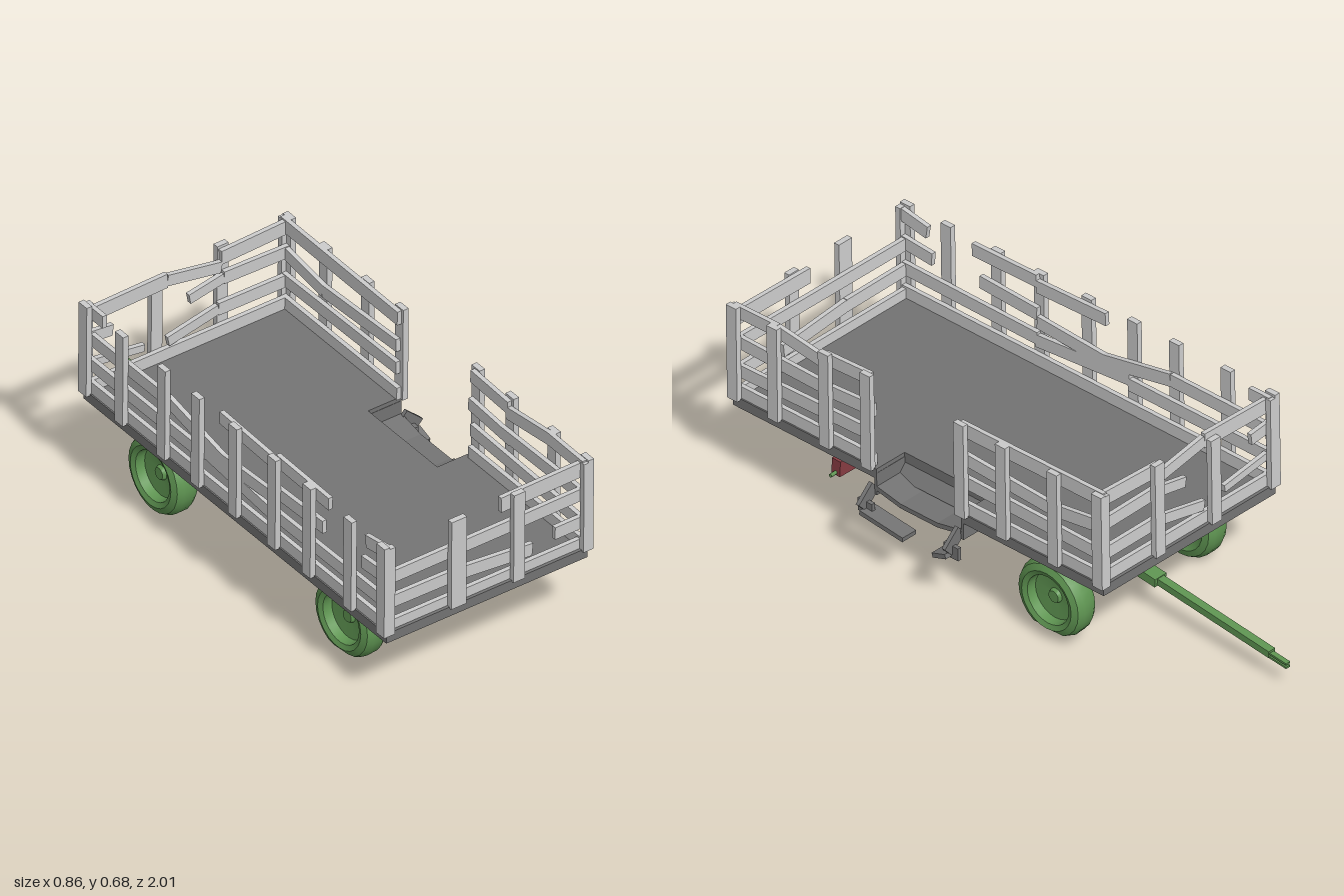
import * as THREE from 'three';
import { toCreasedNormals } from 'three/addons/utils/BufferGeometryUtils.js';

const mat = (color) => new THREE.MeshStandardMaterial({ color, flatShading: true });
const wood = mat(0xcccccc), deckMat = mat(0x747474), red = mat(0x873c42);
const green = new THREE.MeshStandardMaterial({ color: 0x5f9552 });
const V = (x, y, z) => new THREE.Vector3(x, y, z);

function add(parent, name, geometry, material) {
  const mesh = new THREE.Mesh(geometry, material);
  mesh.name = name;
  parent.add(mesh);
  return mesh;
}

function box(parent, name, size, pos, material) {
  const mesh = add(parent, name, new THREE.BoxGeometry(...size), material);
  mesh.position.set(...pos);
  return mesh;
}

// Square bar from a to b; w is its width across, h its height
function bar(parent, name, a, b, w, h, material) {
  const mesh = box(parent, name, [w, h, a.distanceTo(b)], a.clone().add(b).multiplyScalar(0.5).toArray(), material);
  mesh.lookAt(b);
  return mesh;
}

// Stake wall: posts outside, planks [from, y, to, y] inside, running along z (side) or x (end)
function wall(parent, name, alongZ, offset, posts, planks) {
  const group = new THREE.Group();
  group.name = name;
  parent.add(group);
  const out = Math.sign(offset);
  const at = (t, y, d) => (alongZ ? V(d, y, t) : V(t, y, d));
  for (const [t, top, w = 0.042] of posts) {
    const size = alongZ ? [0.02, top - 0.03, w] : [w, top - 0.03, 0.02];
    box(group, 'stake', size, at(t, (top + 0.03) / 2, offset).toArray(), wood);
  }
  for (const [t0, y0, t1, y1, h = 0.045] of planks)
    bar(group, 'plank', at(t0, y0, offset - out * 0.018), at(t1, y1, offset - out * 0.018), 0.016, h, wood);
}

// Wheel with closed inner face, hollow rim outside and a tyre sagging at the bottom
function wheel(parent, name, x, y, z, sag, yaw = 0) {
  const profile = [[0, -0.03], [0.085, -0.035], [0.1, -0.046], [0.122, -0.04], [0.133, -0.022], [0.134, 0.018],
    [0.124, 0.038], [0.103, 0.047], [0.086, 0.04], [0.082, 0.008], [0.025, 0.004], [0.02, 0.016], [0, 0.016]];
  let geo = new THREE.LatheGeometry(profile.map(([r, h]) => new THREE.Vector2(r, h)), 24);
  geo.rotateZ(x > 0 ? -Math.PI / 2 : Math.PI / 2);
  const p = geo.attributes.position;
  for (let i = 0; i < p.count; i++) p.setY(i, Math.max(p.getY(i), -sag));
  geo = toCreasedNormals(geo, 0.6);
  const mesh = add(parent, name, geo, green);
  mesh.position.set(x, y, z);
  mesh.rotation.y = yaw;
}

function makeBody() {
  const body = new THREE.Group();
  body.name = 'wagonBody';
  const W = 0.38, L = 0.777;

  // Deck with a notch in the left edge for the step
  const n0 = -0.18, n1 = 0.175, nx = 0.255;
  const outline = [[-W, -L], [W, -L], [W, n0], [nx, n0], [nx, n1], [W, n1], [W, L], [-W, L]];
  const shape = new THREE.Shape(outline.map(([x, z]) => new THREE.Vector2(x, -z)));
  const geo = new THREE.ExtrudeGeometry(shape, { depth: 0.035, bevelEnabled: false });
  geo.rotateX(-Math.PI / 2);
  add(body, 'deck', geo, deckMat);

  // Sagging upper step, its sloping riser and end plates
  const mid = (n0 + n1) / 2, len = n1 - n0;
  bar(body, 'stepRiser', V(0.235, 0.012, mid), V(0.285, -0.045, mid), len, 0.012, deckMat);
  for (const [za, ya, zb, yb] of [[n0, -0.035, n0 + 0.1, -0.055], [n0 + 0.1, -0.055, n1 - 0.1, -0.055], [n1 - 0.1, -0.055, n1, -0.035]])
    bar(body, 'upperStep', V(0.328, ya, za), V(0.328, yb, zb), 0.105, 0.016, deckMat);
  for (const z of [n0 - 0.004, n1 + 0.004]) {
    const plate = new THREE.Shape([[0.2, 0.02], [0.275, -0.06], [0.38, -0.06], [0.38, 0.02]].map((q) => new THREE.Vector2(...q)));
    const g = new THREE.ExtrudeGeometry(plate, { depth: 0.01, bevelEnabled: false });
    add(body, 'stepEndPlate', g, deckMat).position.z = z - 0.005;
  }

  // Broken lower step on slanted brackets
  for (const [z, end, drop] of [[n0 + 0.01, -0.115, -0.018], [n1 + 0.015, 0.01, -0.02]]) {
    bar(body, 'stepBracket', V(0.375, -0.03, z), V(0.435, -0.085, z), 0.014, 0.045, deckMat);
    bar(body, 'stepBracket', V(0.41, -0.07, z), V(0.41, -0.115, z), 0.014, 0.06, deckMat);
    bar(body, 'lowerStep', V(0.412, -0.1, z), V(0.412, -0.1 + drop, end), 0.06, 0.016, deckMat);
  }

  // Side walls
  wall(body, 'leftSideWall', true, 0.385,
    [[0.765, 0.37], [0.595, 0.37], [0.38, 0.372], [0.205, 0.375], [-0.187, 0.37], [-0.362, 0.368], [-0.578, 0.366], [-0.765, 0.368]],
    [[0.775, 0.055, 0.19, 0.055], [-0.175, 0.055, -0.775, 0.055],
      [0.775, 0.13, 0.2, 0.145], [-0.18, 0.15, -0.775, 0.14],
      [0.775, 0.235, 0.37, 0.228], [0.4, 0.225, 0.19, 0.238], [-0.18, 0.235, -0.56, 0.215], [-0.56, 0.215, -0.775, 0.245],
      [0.775, 0.345, 0.59, 0.348], [0.6, 0.348, 0.38, 0.318], [0.39, 0.34, 0.2, 0.348], [-0.175, 0.34, -0.775, 0.345, 0.05]]);
  wall(body, 'rightSideWall', true, -0.385,
    [0.765, 0.595, 0.385, 0.205, 0.005, -0.187, -0.362, -0.578, -0.765].map((z) => [z, 0.365]),
    [[0.775, 0.055, -0.775, 0.055],
      [0.775, 0.14, 0.2, 0.135], [0.21, 0.125, -0.187, 0.16], [-0.18, 0.14, -0.775, 0.14],
      [0.775, 0.235, 0.64, 0.225], [0.44, 0.235, 0.2, 0.225], [0.2, 0.195, -0.17, 0.175], [-0.08, 0.18, -0.36, 0.235], [-0.36, 0.235, -0.775, 0.235],
      [0.775, 0.335, 0.66, 0.315], [0.47, 0.34, 0.2, 0.345], [0.2, 0.325, -0.09, 0.335], [-0.69, 0.335, -0.775, 0.335]]);

  // End walls
  wall(body, 'frontWall', false, 0.776,
    [[-0.37, 0.358, 0.032], [-0.113, 0.358, 0.057], [0.115, 0.358, 0.042], [0.372, 0.362, 0.028]],
    [[-0.38, 0.052, 0.38, 0.052, 0.036],
      [-0.38, 0.138, -0.1, 0.135], [-0.1, 0.135, 0.18, 0.108], [0.265, 0.13, 0.38, 0.13],
      [-0.38, 0.23, 0.1, 0.232], [0.1, 0.232, 0.38, 0.235], [0.06, 0.325, 0.38, 0.33, 0.055]]);
  wall(body, 'backWall', false, -0.776,
    [[-0.37, 0.355, 0.032], [-0.113, 0.335], [0.135, 0.365], [0.372, 0.365, 0.028]],
    [[-0.38, 0.055, 0.38, 0.055],
      [-0.38, 0.145, -0.17, 0.115, 0.026], [-0.08, 0.1, 0.11, 0.14, 0.036], [0.11, 0.14, 0.38, 0.138],
      [-0.38, 0.245, -0.29, 0.235, 0.04], [0.0, 0.225, 0.13, 0.25, 0.036], [0.13, 0.25, 0.38, 0.245],
      [-0.38, 0.325, -0.085, 0.332, 0.052], [-0.085, 0.332, 0.12, 0.295, 0.04], [0.12, 0.33, 0.38, 0.34, 0.05]]);

  body.position.set(-0.027, 0.277, 0.207);
  body.rotation.set(0.034, -0.009, 0.018);
  return body;
}

function makeChassis() {
  const chassis = new THREE.Group();
  chassis.name = 'chassis';

  // Axle beams, slanted supports and stub shafts
  for (const [name, z, y, top, shift] of [['frontAxle', 0.65, 0.125, 0.27, 0.008], ['backAxle', -0.295, 0.143, 0.305, -0.01]]) {
    bar(chassis, name, V(shift - 0.24, y - 0.01, z), V(shift + 0.24, y + 0.01, z), 0.035, 0.055, red);
    for (const s of [-1, 1])
      bar(chassis, 'axleSupport', V(shift + s * 0.135, y, z), V(shift + s * 0.108, top, z), 0.03, 0.03, red);
    const shaft = add(chassis, 'axleShaft', new THREE.CylinderGeometry(0.006, 0.006, 0.54, 8), green);
    shaft.position.set(shift - 0.005, y - 0.008, z);
    shaft.rotation.z = Math.PI / 2;
  }

  // Twin reach poles, splayed at both ends
  for (const s of [-1, 1]) {
    const pts = [V(s * 0.12, 0.125, 0.64), V(s * 0.045, 0.128, 0.5), V(s * 0.04, 0.138, -0.13), V(s * 0.11, 0.143, -0.285)];
    for (let i = 0; i < 3; i++) bar(chassis, 'reachPole', pts[i], pts[i + 1], 0.022, 0.022, red);
  }

  // Tapering tongue with a forked tip
  bar(chassis, 'tongueRoot', V(-0.01, 0.138, -0.28), V(-0.008, 0.123, -0.46), 0.05, 0.03, green);
  bar(chassis, 'tongue', V(-0.008, 0.124, -0.45), V(0.001, 0.086, -0.93), 0.028, 0.024, green);
  for (const y of [0.087, 0.074])
    bar(chassis, 'tongueTip', V(0.001, y, -0.92), V(0.003, y - 0.005, -1), 0.018, 0.007, green);

  // Three remaining wheels
  wheel(chassis, 'backLeftWheel', 0.285, 0.147, -0.302, 0.106);
  wheel(chassis, 'backRightWheel', -0.302, 0.134, -0.302, 0.134);
  wheel(chassis, 'frontRightWheel', -0.302, 0.128, 0.652, 0.114, 0.05);
  return chassis;
}

export function createModel() {
  const model = new THREE.Group();
  model.name = 'farmWagon';
  model.add(makeBody(), makeChassis());
  return model;
}
